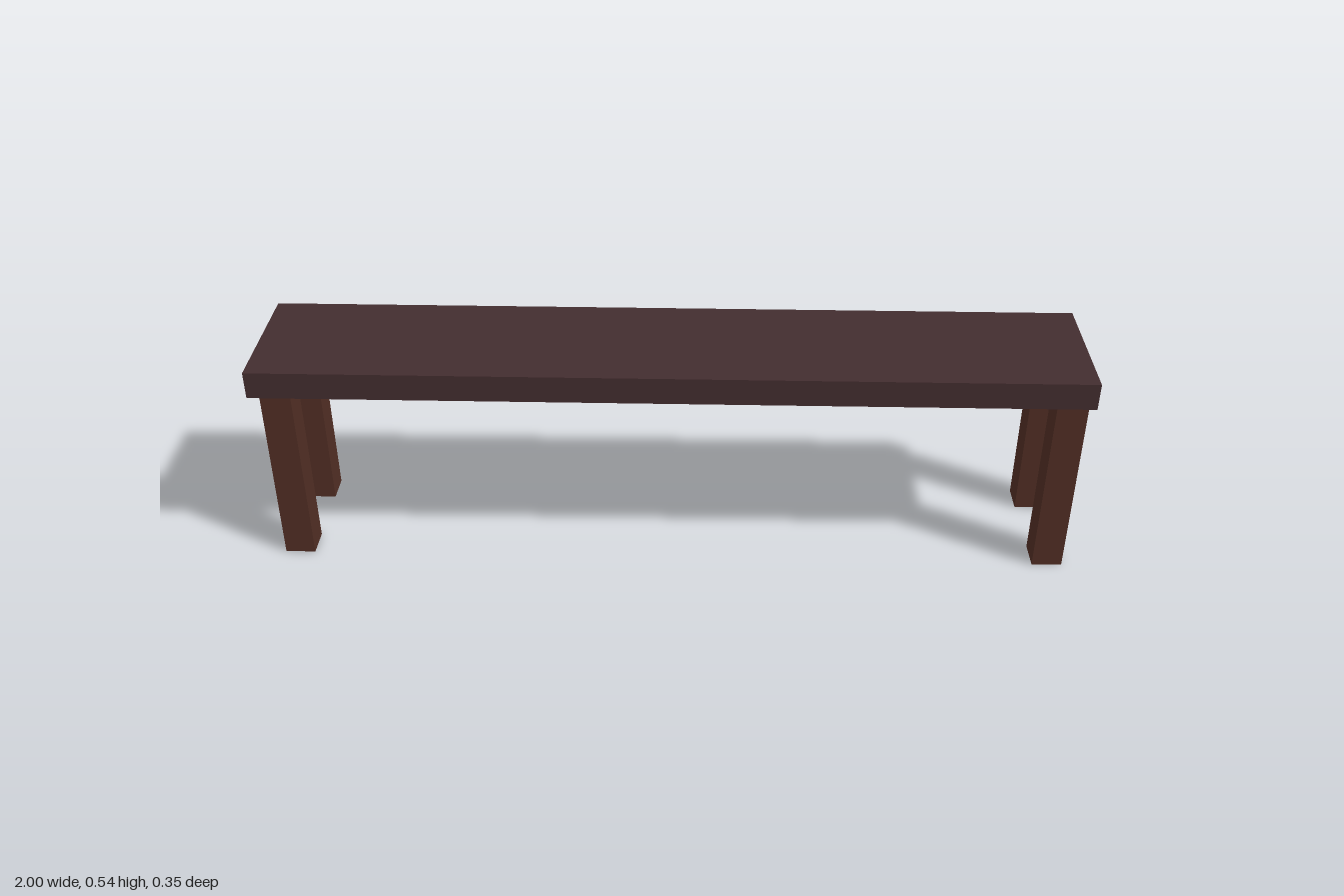
import * as THREE from 'three';

const LEG_HEIGHT = 0.467, LEG = 0.074;

export function createModel() {
  const bench = new THREE.Group();
  bench.name = 'bench';
  const seatWood = new THREE.MeshStandardMaterial({ color: 0x432d2f });
  seatWood.name = 'dark seat wood';
  const legWood = new THREE.MeshStandardMaterial({ color: 0x512e24 });
  legWood.name = 'brown leg wood';

  const add = (name, geometry, material, x, y, z) => {
    const mesh = new THREE.Mesh(geometry, material);
    mesh.name = name;
    mesh.position.set(x, y, z);
    bench.add(mesh);
    return mesh;
  };

  // Plank seat
  add('seat', new THREE.BoxGeometry(2, 0.068, 0.346), seatWood, 0, 0.501, 0);

  // Four square legs, set slightly unevenly
  const legs = [
    ['frontLeftLeg', 0.947, 0.125],
    ['backLeftLeg', 0.945, -0.12],
    ['frontRightLeg', -0.938, 0.12],
    ['backRightLeg', -0.938, -0.12],
  ];
  for (const [name, x, z] of legs) {
    add(name, new THREE.BoxGeometry(LEG, LEG_HEIGHT, LEG), legWood, x, LEG_HEIGHT / 2, z);
  }

  // Dark grain along one edge of each left leg's outer face, curving in at the ends
  const grain = (name, edge, x, z) => {
    const shape = new THREE.Shape();
    shape.moveTo(0, 0);
    shape.lineTo(0.027, 0);
    shape.quadraticCurveTo(edge, 0.02, edge, 0.045);
    shape.lineTo(edge, 0.42);
    shape.quadraticCurveTo(0.03, 0.452, 0.06, 0.456);
    shape.lineTo(LEG, 0.458);
    shape.lineTo(LEG, LEG_HEIGHT);
    shape.lineTo(0, LEG_HEIGHT);
    const plate = add(name, new THREE.ShapeGeometry(shape), seatWood, x + LEG / 2 + 0.001, 0, z + LEG / 2);
    plate.rotation.y = Math.PI / 2;
  };
  grain('frontLegGrain', 0.01, 0.947, 0.125);
  grain('backLegGrain', 0.002, 0.945, -0.12);

  return bench;
}
